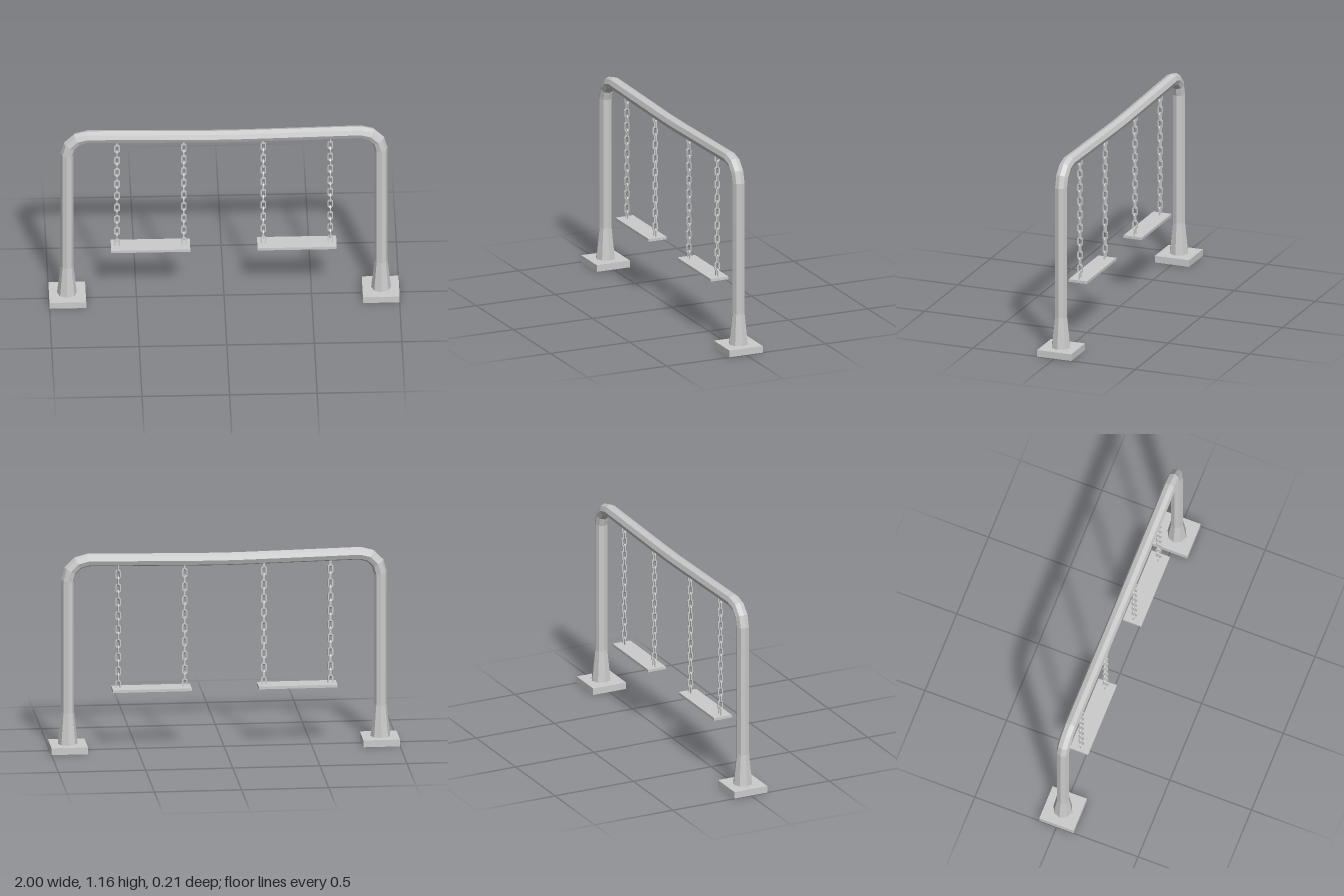
import * as THREE from 'three';

const material = new THREE.MeshStandardMaterial({ color: 0xcccccc, flatShading: true });

// Sweeps a regular polygon along a path in the xy plane, mitring every joint.
// path: [x, y, radius] points
function sweep(path, sides, phase, closed) {
  const n = path.length, pos = [], idx = [];
  const dir = (a, b) => new THREE.Vector2(b[0] - a[0], b[1] - a[1]).normalize();
  path.forEach((p, i) => {
    const hasPrev = closed || i > 0, hasNext = closed || i < n - 1;
    const next = hasNext ? dir(p, path[(i + 1) % n]) : null;
    const prev = hasPrev ? dir(path[(i + n - 1) % n], p) : next;
    const t = prev.clone().add(next || prev).normalize();
    const mitre = 1 / t.dot(prev);
    for (let s = 0; s < sides; s++) {
      const a = phase + (s / sides) * Math.PI * 2;
      const out = Math.cos(a) * p[2] * mitre;
      pos.push(p[0] - t.y * out, p[1] + t.x * out, Math.sin(a) * p[2]);
    }
  });
  for (let i = 0; i < (closed ? n : n - 1); i++) {
    for (let s = 0; s < sides; s++) {
      const a = i * sides + s, b = i * sides + ((s + 1) % sides);
      const c = ((i + 1) % n) * sides + s, d = ((i + 1) % n) * sides + ((s + 1) % sides);
      idx.push(a, b, c, b, d, c);
    }
  }
  const geo = new THREE.BufferGeometry();
  geo.setAttribute('position', new THREE.Float32BufferAttribute(pos, 3));
  geo.setIndex(idx);
  const flat = geo.toNonIndexed();
  flat.computeVertexNormals();
  return flat;
}

function addMesh(parent, name, geometry, x = 0, y = 0, z = 0) {
  const mesh = new THREE.Mesh(geometry, material);
  mesh.name = name;
  mesh.position.set(x, y, z);
  parent.add(mesh);
  return mesh;
}

export function createModel() {
  const model = new THREE.Group();
  model.name = 'swingSet';

  // Octagonal pipe frame: flared foot, post, rounded corner, slightly sagging beam
  const R = 0.037, bend = 0.118;
  const half = [[-0.897, 0.03, 0.058], [-0.897, 0.225, R]];
  for (let i = 0; i <= 3; i++) {
    const a = Math.PI - (i / 3) * Math.PI / 2;
    half.push([-0.779 + bend * Math.cos(a), 1.0 + bend * Math.sin(a), R]);
  }
  half.push([-0.4, 1.111, R], [-0.12, 1.106, R]);
  const mirrored = half.map(([x, y, r]) => [-x, y, r]).reverse();
  addMesh(model, 'pipeFrame', sweep([...half, [0, 1.105, R], ...mirrored], 8, 0, false));

  // Square ground pads
  const padGeo = new THREE.BoxGeometry(0.21, 0.04, 0.21);
  addMesh(model, 'rightBasePad', padGeo, -0.895, 0.02);
  addMesh(model, 'leftBasePad', padGeo, 0.895, 0.02);

  // One chain link: chamfered rectangle of square wire
  const w = 0.0125, h = 0.0235, c = 0.007, wire = 0.005;
  const linkGeo = sweep([
    [w, -h + c, wire], [w, h - c, wire], [w - c, h, wire], [-w + c, h, wire],
    [-w, h - c, wire], [-w, -h + c, wire], [-w + c, -h, wire], [w - c, -h, wire],
  ], 4, Math.PI / 4, true);

  // Two swings: a flat seat hung from two chains of alternating links
  const seatGeo = new THREE.BoxGeometry(0.452, 0.016, 0.112);
  for (const [side, x] of [['right', -0.42], ['left', 0.416]]) {
    const swing = new THREE.Group();
    swing.name = side + 'Swing';
    swing.position.x = x;
    addMesh(swing, 'seat', seatGeo, 0, 0.352);
    for (const dx of [-0.191, 0.191]) {
      const chain = new THREE.Group();
      chain.name = 'chain';
      chain.position.x = dx;
      for (let i = 0; i < 18; i++) {
        const link = addMesh(chain, 'chainLink', linkGeo, 0, 1.07 - i * 0.0407);
        link.rotation.y = i % 2 ? 0 : Math.PI / 2;
      }
      swing.add(chain);
    }
    model.add(swing);
  }
  return model;
}
